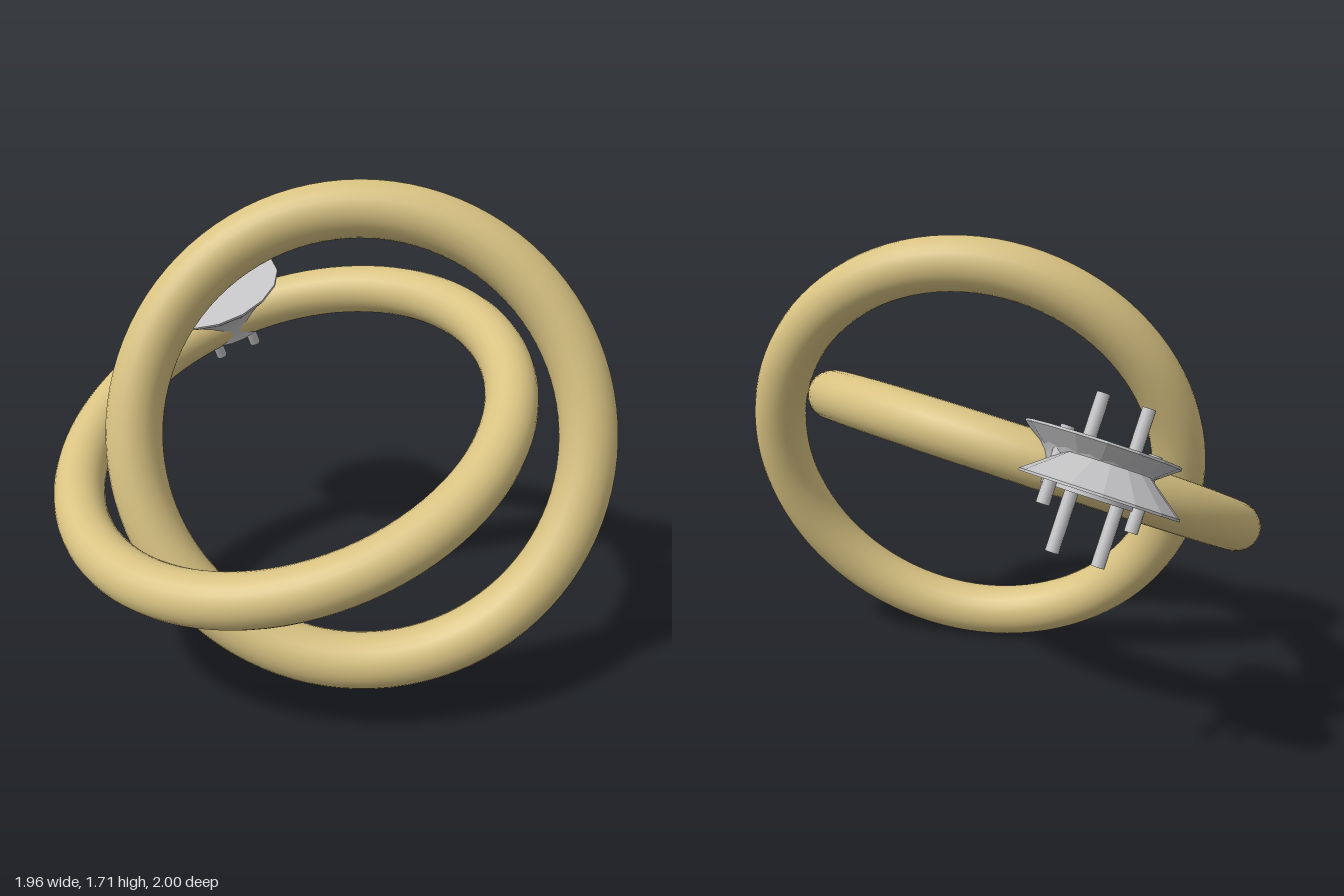
import * as THREE from 'three';

const gold = new THREE.MeshStandardMaterial({ color: 0xd8c282 });
gold.name = 'gold';
const silver = new THREE.MeshStandardMaterial({ color: 0xc2c2c4 });
silver.name = 'silver';
const silverFaceted = silver.clone();
silverFaceted.name = 'silver faceted';
silverFaceted.flatShading = true;

const Y = new THREE.Vector3(0, 1, 0);
const Z = new THREE.Vector3(0, 0, 1);

// Unit normals of the two ring planes
const uprightNormal = new THREE.Vector3(-0.12, 0.276, 0.954).normalize();
const lyingNormal = new THREE.Vector3(-0.284, 0.909, 0.305).normalize();

function makeRing(name, radius, tube, center, normal) {
  const mesh = new THREE.Mesh(new THREE.TorusGeometry(radius, tube, 24, 96), gold);
  mesh.name = name;
  mesh.quaternion.setFromUnitVectors(Z, normal);
  mesh.position.set(...center);
  return mesh;
}

// Group whose local +y follows the lying ring's normal
function alignedGroup(name, center) {
  const group = new THREE.Group();
  group.name = name;
  group.quaternion.setFromUnitVectors(Y, lyingNormal);
  group.position.set(...center);
  return group;
}

// Sixteen-sided flange: flat disc on top, tapering to a waist below
function makeFlange(name) {
  const profile = [[0, -0.1], [0.135, -0.1], [0.255, -0.008], [0.255, 0], [0, 0]]
    .map(([r, y]) => new THREE.Vector2(r, y));
  const mesh = new THREE.Mesh(new THREE.LatheGeometry(profile, 16), silverFaceted);
  mesh.name = name;
  return mesh;
}

// Round pin with its top end given, running down the mount axis
function makePin(name, top, length) {
  const mesh = new THREE.Mesh(new THREE.CylinderGeometry(0.022, 0.022, length, 12), silver);
  mesh.name = name;
  mesh.quaternion.setFromUnitVectors(Y, lyingNormal);
  mesh.position.set(...top).addScaledVector(lyingNormal, -length / 2);
  return mesh;
}

export function createModel() {
  const model = new THREE.Group();
  model.name = 'linkedRings';

  // Two interlocked rings
  model.add(makeRing('uprightRing', 0.785, 0.1, [0.1, 0.86, 0.27], uprightNormal));
  model.add(makeRing('lyingRing', 0.787, 0.091, [-0.135, 0.8625, 0.155], lyingNormal));

  // Upper flange with the collar that hugs the ring
  const upper = alignedGroup('upperMount', [-0.4, 1.16, -0.607]);
  upper.add(makeFlange('upperFlange'));
  const neck = [[0.2, -0.045], [0.175, -0.075], [0.16, -0.11], [0.153, -0.145], [0.153, -0.175]]
    .map(([r, y]) => new THREE.Vector2(r, y)).reverse();
  const collar = new THREE.Mesh(new THREE.LatheGeometry(neck, 32), silver);
  collar.name = 'collar';
  const base = new THREE.Mesh(new THREE.CircleGeometry(0.153, 32), silver);
  base.name = 'collarBase';
  base.rotation.x = Math.PI / 2;
  base.position.y = -0.175;
  upper.add(collar, base);
  model.add(upper);

  // Lower flange, facing the other way
  const lower = alignedGroup('lowerMount', [-0.388, 1.04, -0.767]);
  const lowerFlange = makeFlange('lowerFlange');
  lowerFlange.rotation.x = Math.PI;
  lower.add(lowerFlange);
  model.add(lower);

  // Two long and two short pins through both flanges
  const pins = [
    [[-0.395, 1.33, -0.645], 0.51],
    [[-0.535, 1.28, -0.63], 0.51],
    [[-0.56, 1.135, -0.645], 0.25],
    [[-0.29, 1.24, -0.7], 0.25],
  ];
  pins.forEach(([top, length], i) => model.add(makePin(`pin${i + 1}`, top, length)));

  return model;
}
